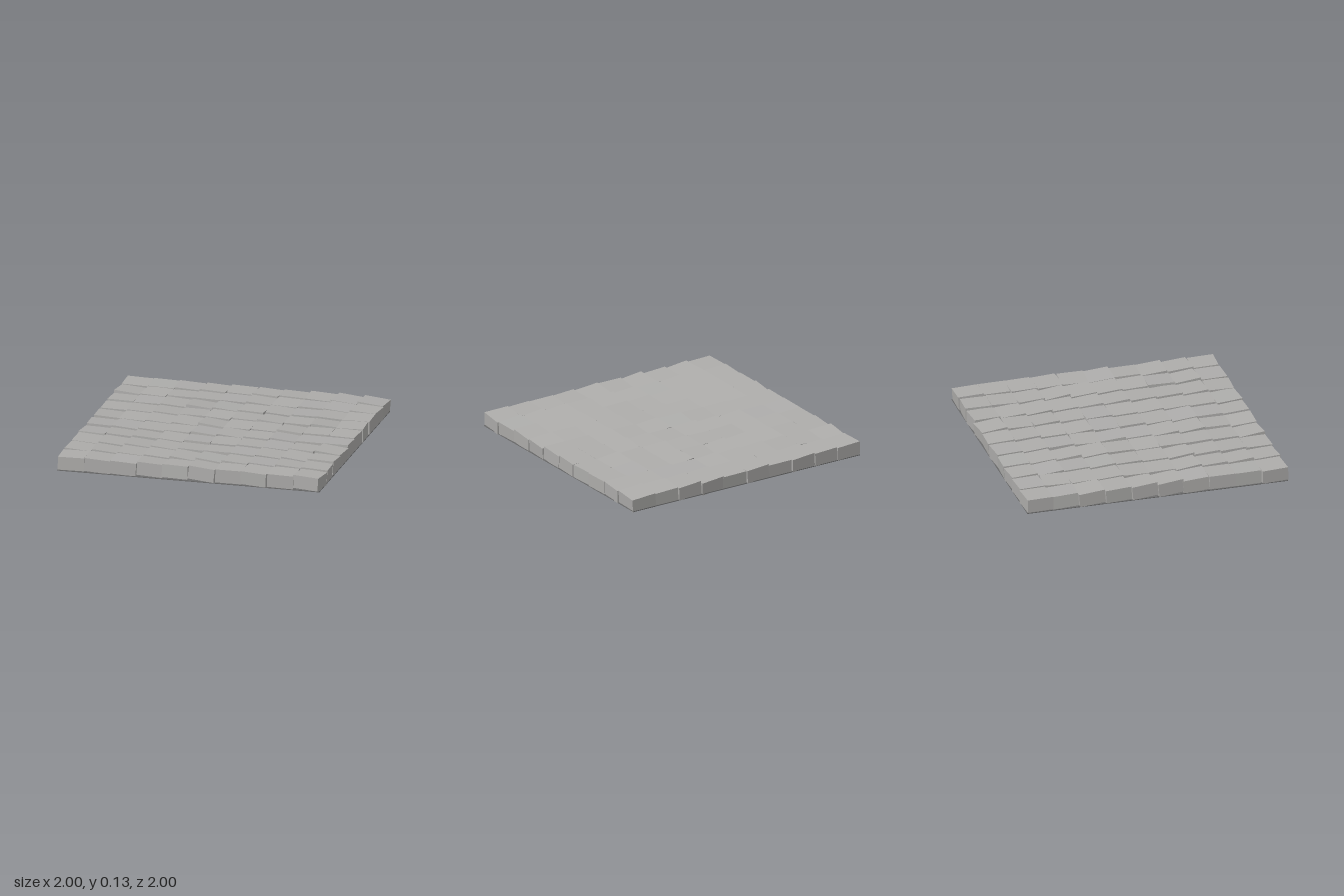
import * as THREE from 'three';

// Small seeded generator, returns 0..1
function makeRandom(seed) {
  let s = seed;
  return () => {
    s = (s * 16807) % 2147483647;
    return s / 2147483647;
  };
}

export function createModel() {
  const group = new THREE.Group();
  group.name = 'pavedFloor';

  const stone = new THREE.MeshStandardMaterial({ color: 0xadacaa });
  stone.name = 'light grey stone';
  const mortar = new THREE.MeshStandardMaterial({ color: 0x6e6e6e });
  mortar.name = 'dark grey mortar';

  const count = 10;
  const spacing = 0.198;
  const size = 0.196;
  const maxTilt = 0.095;
  const random = makeRandom(4217);
  const block = new THREE.BoxGeometry(size, size / 2, size);

  // Grid of paving blocks, each raised a little at its front and left-hand (-x) edges
  for (let row = 0; row < count; row++) {
    for (let col = 0; col < count; col++) {
      const paver = new THREE.Mesh(block, stone);
      paver.name = `paver_${row}_${col}`;
      paver.position.set((col - (count - 1) / 2) * spacing, 0.068, (row - (count - 1) / 2) * spacing);
      paver.rotation.set(-random() * maxTilt, (random() - 0.5) * maxTilt * 1.8, -random() * maxTilt);
      group.add(paver);
    }
  }

  // Thin dark bed that closes the joints from below
  const bed = new THREE.Mesh(new THREE.BoxGeometry(count * spacing, 0.006, count * spacing), mortar);
  bed.name = 'mortarBed';
  bed.position.y = 0.015;
  group.add(bed);

  return group;
}
